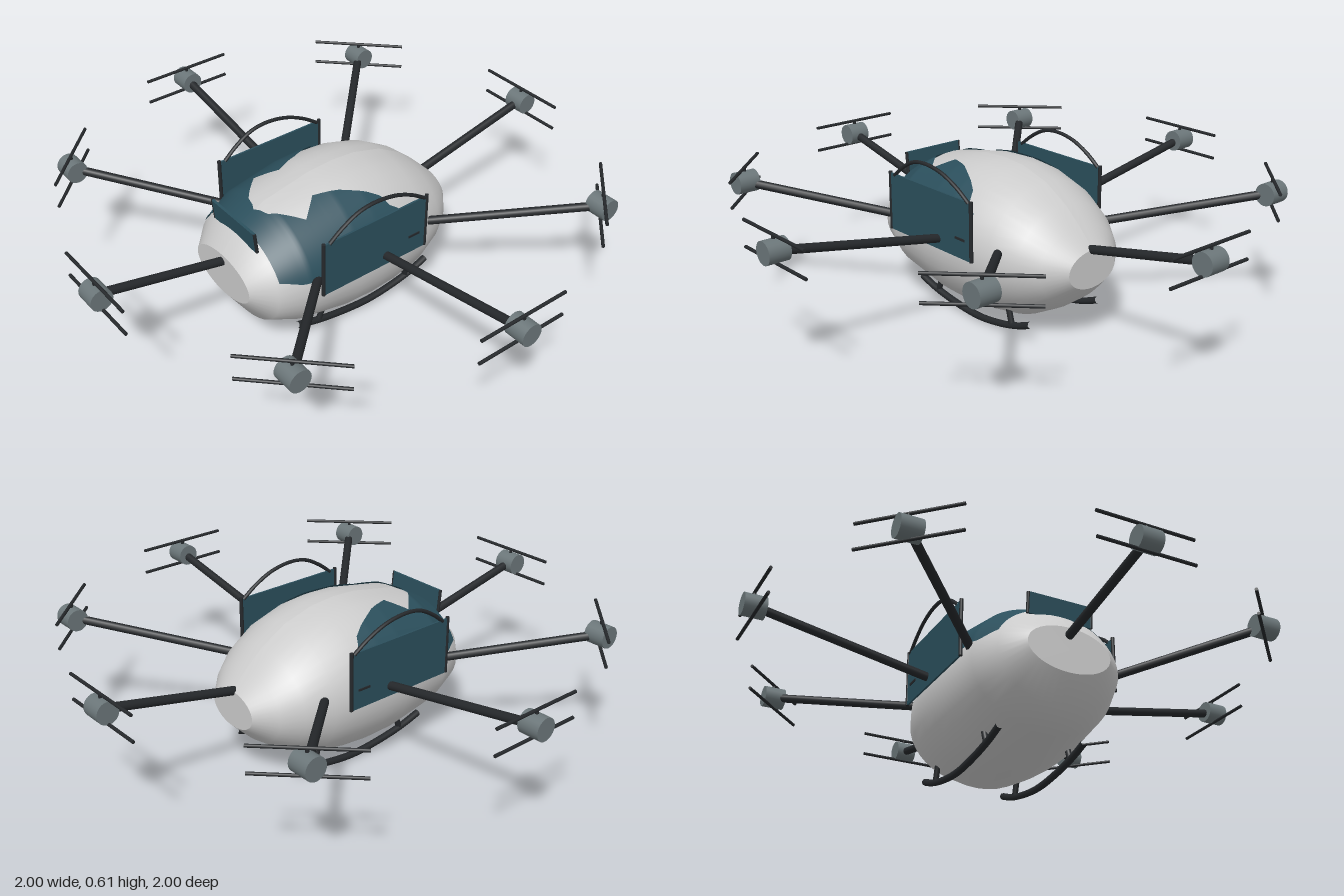
import * as THREE from 'three';

const mat = (color, side = THREE.FrontSide) => new THREE.MeshStandardMaterial({ color, side });
const white = mat(0xcccccc);
const teal = mat(0x2b4f5c, THREE.DoubleSide);
const dark = mat(0x25282b);
const steel = mat(0x6b7679);
const V = (x, y, z) => new THREE.Vector3(x, y, z);

// Hull cross-sections along x: [x, centre y, half height, half width]
const SECTIONS = [
  [-0.48, 0.30, 0.085, 0.16], [-0.41, 0.29, 0.18, 0.235], [-0.3, 0.295, 0.235, 0.28],
  [-0.1, 0.295, 0.275, 0.3], [0, 0.295, 0.28, 0.3], [0.1, 0.295, 0.272, 0.295],
  [0.22, 0.288, 0.245, 0.275], [0.32, 0.285, 0.19, 0.235], [0.39, 0.28, 0.135, 0.185],
  [0.455, 0.28, 0.07, 0.11],
];

// Linear lookup in a table whose first column is x
function sample(table, x) {
  let i = 0;
  while (i < table.length - 2 && x > table[i + 1][0]) i++;
  const a = table[i], b = table[i + 1];
  const t = THREE.MathUtils.clamp((x - a[0]) / (b[0] - a[0]), 0, 1);
  return a.map((v, k) => v + (b[k] - v) * t);
}

// Point on the hull; angle 0 is the top, positive towards +z
function hullPoint(x, angle, grow = 0) {
  const [, cy, ry, rz] = sample(SECTIONS, x);
  return V(x, cy + (ry + grow) * Math.cos(angle), (rz + grow) * Math.sin(angle));
}

// Grid surface over rows and columns of points
function surface(rows, cols, point) {
  const pos = [], index = [];
  for (let i = 0; i <= rows; i++)
    for (let j = 0; j <= cols; j++) pos.push(...point(i, j).toArray());
  for (let i = 0; i < rows; i++)
    for (let j = 0; j < cols; j++) {
      const a = i * (cols + 1) + j, b = a + cols + 1;
      index.push(a, a + 1, b, a + 1, b + 1, b);
    }
  const g = new THREE.BufferGeometry();
  g.setAttribute('position', new THREE.Float32BufferAttribute(pos, 3));
  g.setIndex(index);
  g.computeVertexNormals();
  return g;
}

function add(parent, name, geometry, material, x = 0, y = 0, z = 0) {
  const m = new THREE.Mesh(geometry, material);
  m.name = name;
  m.position.set(x, y, z);
  parent.add(m);
  return m;
}

// Round bar between two points
function bar(parent, name, a, b, r, material = dark) {
  const m = add(parent, name, new THREE.CylinderGeometry(r, r, a.distanceTo(b), 12), material);
  m.position.copy(a).add(b).multiplyScalar(0.5);
  m.quaternion.setFromUnitVectors(V(0, 1, 0), b.clone().sub(a).normalize());
  return m;
}

function tube(parent, name, points, r) {
  return add(parent, name, new THREE.TubeGeometry(new THREE.CatmullRomCurve3(points), 28, r, 8), dark);
}

function createHull() {
  const hull = new THREE.Group();
  hull.name = 'hull';
  const sides = 40;
  add(hull, 'hullShell', surface(SECTIONS.length - 1, sides,
    (i, j) => hullPoint(SECTIONS[i][0], (j / sides) * Math.PI * 2)), white);
  // Flat end caps
  for (const [s, dir] of [[SECTIONS[0], -1], [SECTIONS[SECTIONS.length - 1], 1]]) {
    const cap = add(hull, 'hullEndCap', new THREE.CircleGeometry(1, sides), white, s[0], s[1], 0);
    cap.rotation.y = dir * Math.PI / 2;
    cap.scale.set(s[3], s[2], 1);
  }
  // Tinted canopy: [x, inner angle, outer angle] in degrees, one strip per side
  const edge = [
    [-0.4, 0, 68], [-0.335, 0, 76], [-0.32, 12, 77], [-0.23, 32, 78], [-0.16, 19, 78],
    [-0.07, 25, 78], [0.02, 35, 78], [0.06, 41, 76], [0.08, 50, 74], [0.12, 56, 64],
  ];
  const rows = 52;
  for (const side of [-1, 1])
    add(hull, 'canopyGlass', surface(rows, 24, (i, j) => {
      const [x, a, b] = sample(edge, -0.4 + 0.52 * i / rows);
      // columns run towards +z on both sides
      const t = side > 0 ? j / 24 : 1 - j / 24;
      return hullPoint(x, side * THREE.MathUtils.degToRad(a + (b - a) * t), 0.005);
    }), teal);
  return hull;
}

// Side door with posts, latch and arched rail
function createDoor(side) {
  const door = new THREE.Group();
  door.name = 'sideDoor';
  const z = side * 0.308;
  add(door, 'doorPanel', new THREE.BoxGeometry(0.45, 0.215, 0.007), teal, -0.048, 0.408, z);
  for (const x of [-0.275, 0.18]) bar(door, 'doorPost', V(x, 0.3, z), V(x, 0.52, z), 0.007);
  add(door, 'doorLatch', new THREE.BoxGeometry(0.05, 0.008, 0.014), dark, 0.125, 0.372, z);
  tube(door, 'doorRail', [
    V(-0.25, 0.51, z), V(-0.2, 0.55, z + side * 0.002), V(-0.13, 0.588, z + side * 0.004),
    V(-0.06, 0.598, z + side * 0.005), V(0.03, 0.585, z + side * 0.004),
    V(0.11, 0.55, z + side * 0.002), V(0.17, 0.51, z),
  ], 0.007);
  return door;
}

// Arm, motor and a pair of stacked blades
function createRotor(index) {
  const rotor = new THREE.Group();
  rotor.name = 'rotor';
  const angle = index * Math.PI / 4, c = Math.cos(angle), s = Math.sin(angle);
  const reach = 0.958, y = 0.46;
  const start = 0.36 - 0.1 * s * s;
  bar(rotor, 'rotorArm', V(c * start, 0.33, s * start), V(c * reach, y, s * reach), 0.016);
  const motor = add(rotor, 'motor', new THREE.CylinderGeometry(0.041, 0.041, 0.08, 24), steel,
    c * reach, y, s * reach);
  motor.rotation.x = Math.PI / 2;
  for (const h of [0.514, 0.42]) {
    const a = V(c * reach - s * 0.183, h, s * reach + c * 0.183);
    const b = V(c * reach + s * 0.183, h, s * reach - c * 0.183);
    bar(rotor, 'blade', a, b, 0.006);
  }
  bar(rotor, 'bladeShaft', V(c * reach, 0.42, s * reach), V(c * reach, 0.514, s * reach), 0.006);
  return rotor;
}

// Curved landing skid with two struts
function createSkid(z) {
  const skid = new THREE.Group();
  skid.name = 'landingSkid';
  tube(skid, 'skidRunner', [V(-0.285, 0.068, z), V(-0.2, 0.043, z), V(-0.08, 0.022, z),
    V(0.05, 0.013, z), V(0.18, 0.028, z), V(0.26, 0.048, z), V(0.325, 0.073, z)], 0.013);
  bar(skid, 'skidStrut', V(-0.188, 0.042, z), V(-0.16, 0.12, z), 0.011);
  bar(skid, 'skidStrut', V(0.228, 0.04, z), V(0.205, 0.12, z), 0.011);
  return skid;
}

export function createModel() {
  const model = new THREE.Group();
  model.name = 'passengerMulticopter';
  model.add(createHull());
  for (const side of [-1, 1]) model.add(createDoor(side), createSkid(side * 0.165));
  for (let i = 0; i < 8; i++) model.add(createRotor(i));

  // Small upright panel at the blunt end
  const screen = new THREE.Group();
  screen.name = 'endPanel';
  add(screen, 'endPanelPlate', new THREE.BoxGeometry(0.01, 0.08, 0.25), teal);
  for (const z of [-0.125, 0.125]) bar(screen, 'endPanelPost', V(0, -0.04, z), V(0, 0.04, z), 0.006);
  screen.position.set(-0.42, 0.482, 0);
  screen.rotation.z = 0.1;
  model.add(screen);
  return model;
}
